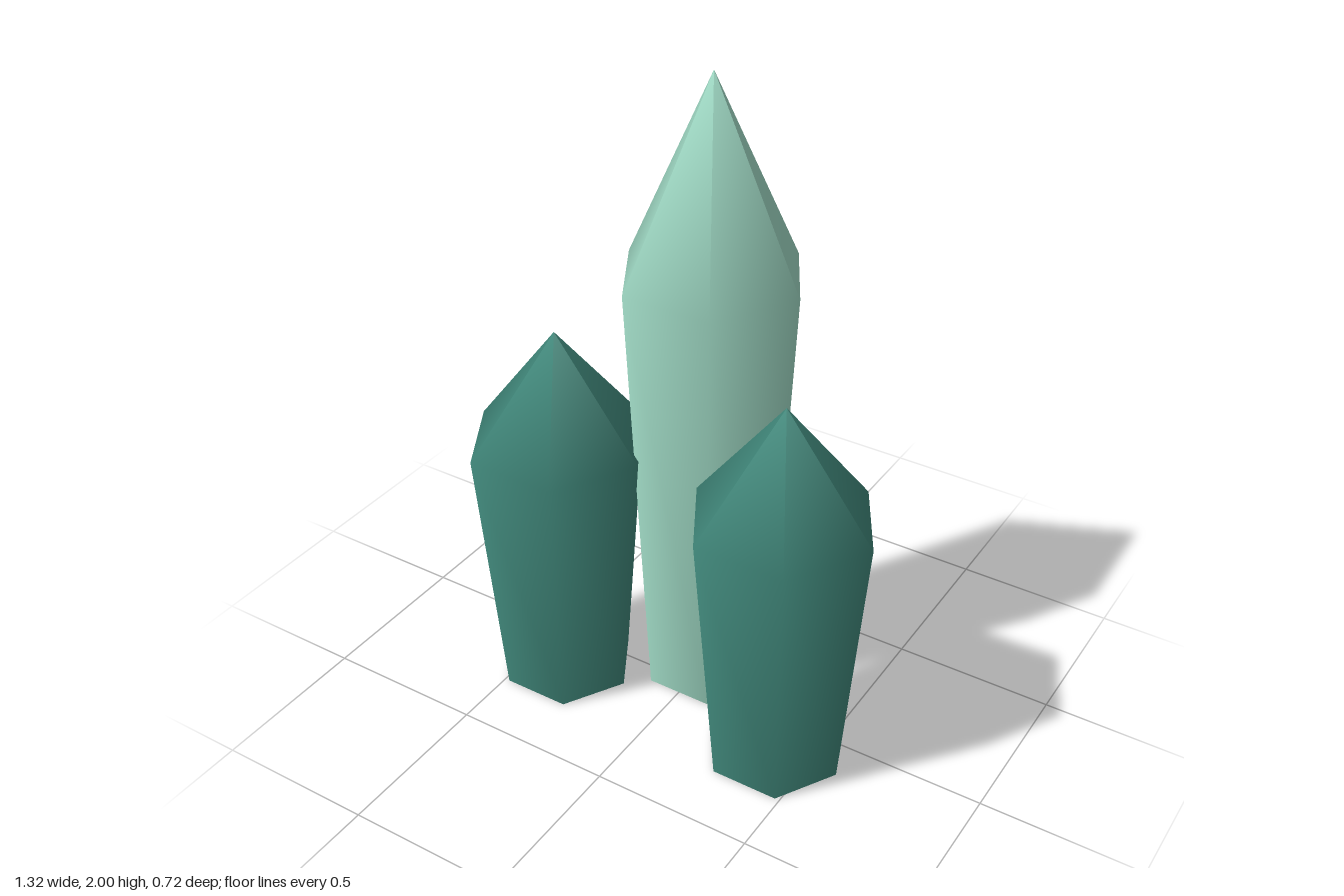
import * as THREE from 'three';

const SIDES = 6;

export function createModel() {
  const paleMint = new THREE.MeshStandardMaterial({ color: 0xa0dac5 });
  paleMint.name = 'paleMint';
  const deepTeal = new THREE.MeshStandardMaterial({ color: 0x40877a });
  deepTeal.name = 'deepTeal';

  // Six-sided crystal: a shaft widening to the shoulder, then a pointed tip
  function crystal(name, material, shoulderY, tipY, x, z) {
    const group = new THREE.Group();
    group.name = name;
    const profile = [[0.21, 0], [0.28, shoulderY], [0, tipY]].map(([r, y]) => new THREE.Vector2(r, y));
    const shaft = new THREE.Mesh(new THREE.LatheGeometry(profile, SIDES, Math.PI / 2), material);
    shaft.name = name + 'Shaft';
    // Flat underside
    const base = new THREE.Mesh(new THREE.CircleGeometry(0.21, SIDES).rotateX(Math.PI / 2), material);
    base.name = name + 'Base';
    group.add(shaft, base);
    group.position.set(x, 0, z);
    return group;
  }

  const model = new THREE.Group();
  model.name = 'crystalCluster';
  model.add(
    crystal('tallCrystal', paleMint, 1.4, 2, 0, -0.12),
    crystal('leftCrystal', deepTeal, 0.855, 1.216, 0.38, 0.12),
    crystal('rightCrystal', deepTeal, 0.855, 1.216, -0.38, 0.12)
  );
  return model;
}
